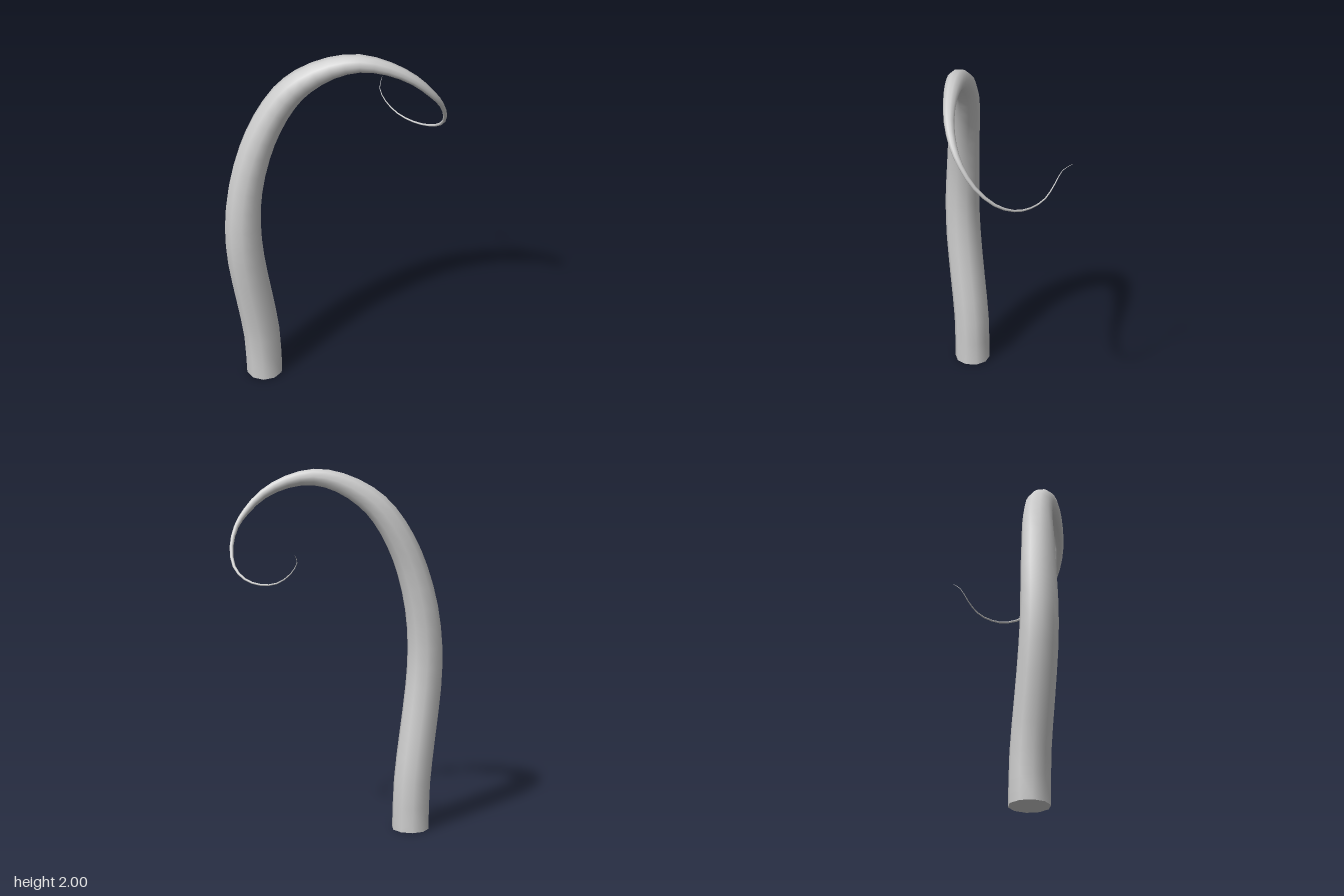
import * as THREE from 'three';

// Centreline stations from root to tip: x, y, z, radius
const STATIONS = [
  [-0.328, 0, -0.322, 0.104], [-0.337, 0.27, -0.325, 0.103], [-0.375, 0.53, -0.335, 0.102],
  [-0.415, 0.8, -0.347, 0.101], [-0.425, 1.02, -0.349, 0.098], [-0.405, 1.24, -0.335, 0.093],
  [-0.365, 1.45, -0.297, 0.087], [-0.315, 1.61, -0.25, 0.082], [-0.255, 1.755, -0.18, 0.076],
  [-0.2, 1.848, -0.1, 0.068], [-0.125, 1.925, 0.02, 0.056], [-0.05, 1.954, 0.14, 0.046],
  [0.03, 1.928, 0.26, 0.035], [0.11, 1.863, 0.36, 0.026], [0.185, 1.775, 0.418, 0.019],
  [0.25, 1.695, 0.437, 0.013], [0.32, 1.595, 0.418, 0.01], [0.39, 1.5, 0.35, 0.008],
  [0.432, 1.443, 0.25, 0.006], [0.45, 1.423, 0.14, 0.005], [0.457, 1.438, 0.03, 0.004],
  [0.455, 1.49, -0.05, 0.003], [0.465, 1.55, -0.097, 0.002], [0.515, 1.595, -0.116, 0.0008],
];
const SIDES = 10;
const STEPS = 2; // rings per span

// Sweeps a round section along the stations, carrying its frame without twist
function taperedSweep(stations) {
  const curve = new THREE.CatmullRomCurve3(stations.map(([x, y, z]) => new THREE.Vector3(x, y, z)));
  const spans = stations.length - 1;
  const rings = spans * STEPS;
  const positions = [], indices = [];
  const normal = new THREE.Vector3(1, 0, 0);
  for (let i = 0; i <= rings; i++) {
    const t = i / rings;
    const centre = curve.getPoint(t);
    const tangent = i === 0 ? new THREE.Vector3(0, 1, 0) : curve.getTangent(t);
    normal.addScaledVector(tangent, -normal.dot(tangent)).normalize();
    const side = new THREE.Vector3().crossVectors(tangent, normal);
    const k = Math.min(Math.floor(i / STEPS), spans - 1);
    const radius = THREE.MathUtils.lerp(stations[k][3], stations[k + 1][3], i / STEPS - k);
    for (let j = 0; j < SIDES; j++) {
      const a = (j / SIDES) * Math.PI * 2;
      const p = centre.clone()
        .addScaledVector(normal, Math.cos(a) * radius)
        .addScaledVector(side, Math.sin(a) * radius);
      positions.push(p.x, p.y, p.z);
      if (i < rings) {
        const n = (j + 1) % SIDES;
        const b = i * SIDES, c = b + SIDES;
        indices.push(b + j, b + n, c + j, b + n, c + n, c + j);
      }
    }
  }
  const geometry = new THREE.BufferGeometry();
  geometry.setAttribute('position', new THREE.Float32BufferAttribute(positions, 3));
  geometry.setIndex(indices);
  geometry.computeVertexNormals();
  return geometry;
}

export function createModel() {
  const group = new THREE.Group();
  group.name = 'tentacle';
  const material = new THREE.MeshStandardMaterial({ color: 0xcccccc });

  // Curling body that thins to a hair-fine tip
  const body = new THREE.Mesh(taperedSweep(STATIONS), material);
  body.name = 'tentacleBody';
  group.add(body);

  // Flat underside closing the root, lined up with the first ring
  const [x, y, z, radius] = STATIONS[0];
  const cap = new THREE.Mesh(new THREE.CircleGeometry(radius, SIDES), material);
  cap.name = 'rootCap';
  cap.rotation.x = Math.PI / 2;
  cap.position.set(x, y, z);
  group.add(cap);

  return group;
}
